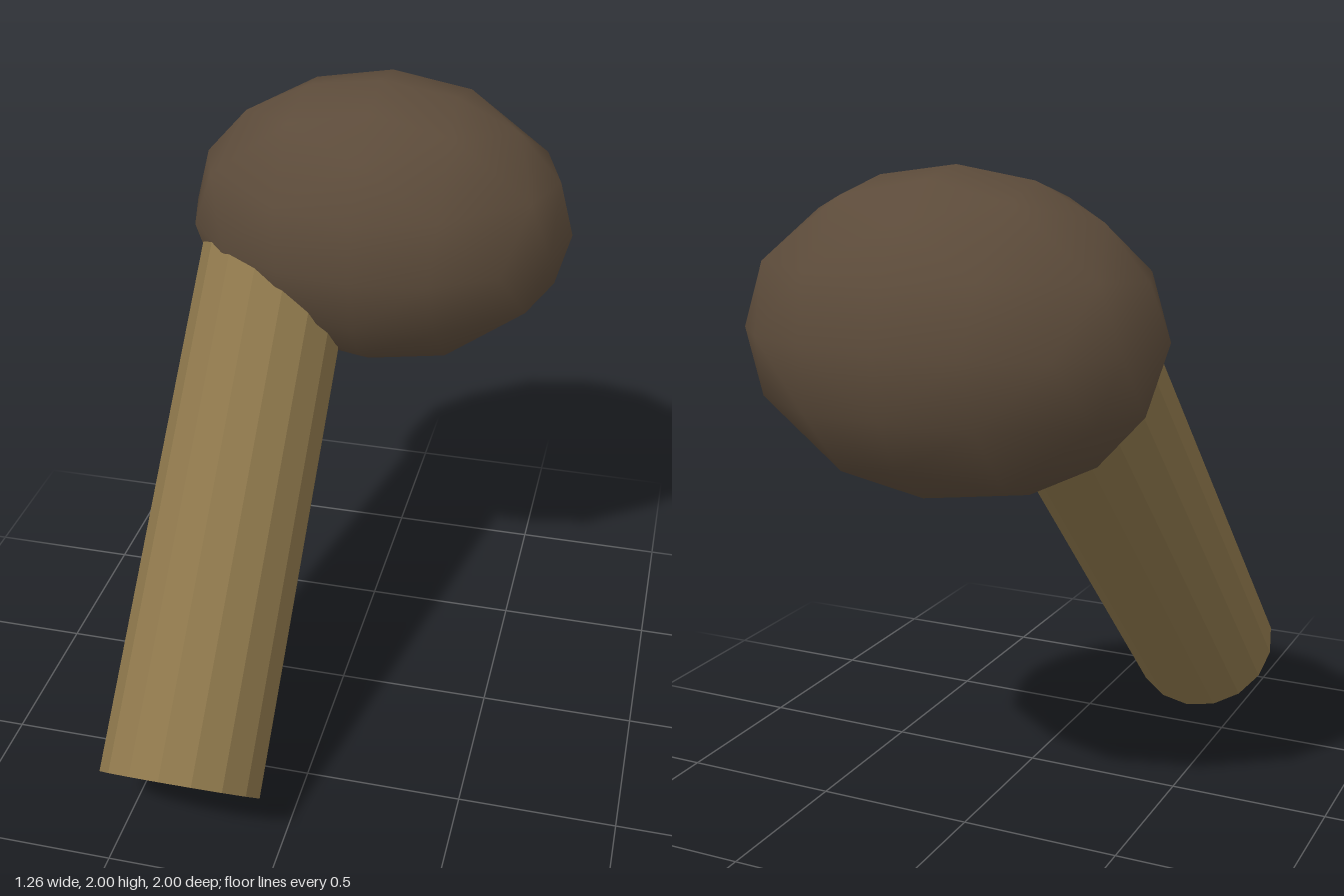
import * as THREE from 'three';

// Unit sphere made by repeatedly halving the eight faces of an octahedron
function octaSphere(levels) {
  const p = new THREE.OctahedronGeometry(1, 0).toNonIndexed
    ? new THREE.OctahedronGeometry(1, 0).attributes.position : null;
  let tris = [];
  for (let i = 0; i < p.count; i += 3) {
    tris.push([0, 1, 2].map((k) => new THREE.Vector3().fromBufferAttribute(p, i + k)));
  }
  const mid = (a, b) => a.clone().add(b).normalize();
  for (let l = 0; l < levels; l++) {
    tris = tris.flatMap(([a, b, c]) => {
      const ab = mid(a, b), bc = mid(b, c), ca = mid(c, a);
      return [[a, ab, ca], [ab, b, bc], [ca, bc, c], [ab, bc, ca]];
    });
  }
  const coords = tris.flat().flatMap((v) => v.toArray());
  const geo = new THREE.BufferGeometry();
  // On a unit sphere the positions are also the smooth normals
  geo.setAttribute('position', new THREE.Float32BufferAttribute(coords, 3));
  geo.setAttribute('normal', new THREE.Float32BufferAttribute(coords, 3));
  return geo;
}

export function createModel() {
  const model = new THREE.Group();

  // Rounded head, wider across x and tipped slightly forward
  const head = new THREE.Mesh(
    octaSphere(2).scale(0.63, 0.473, 0.473),
    new THREE.MeshStandardMaterial({ color: 0x5c4b3a })
  );
  head.name = 'head';
  head.position.set(0, 1.53, -0.525);
  head.rotation.x = 0.05;
  model.add(head);

  // Faceted shaft leaning back at 45 degrees into the head
  const length = 1.9;
  const shaft = new THREE.Mesh(
    new THREE.CylinderGeometry(0.252, 0.252, length, 16).translate(0, length / 2, 0),
    new THREE.MeshStandardMaterial({ color: 0x8b754a, flatShading: true })
  );
  shaft.name = 'shaft';
  shaft.position.set(-0.32, 0.18, 0.82);
  shaft.rotation.x = -Math.PI / 4;
  model.add(shaft);

  return model;
}
